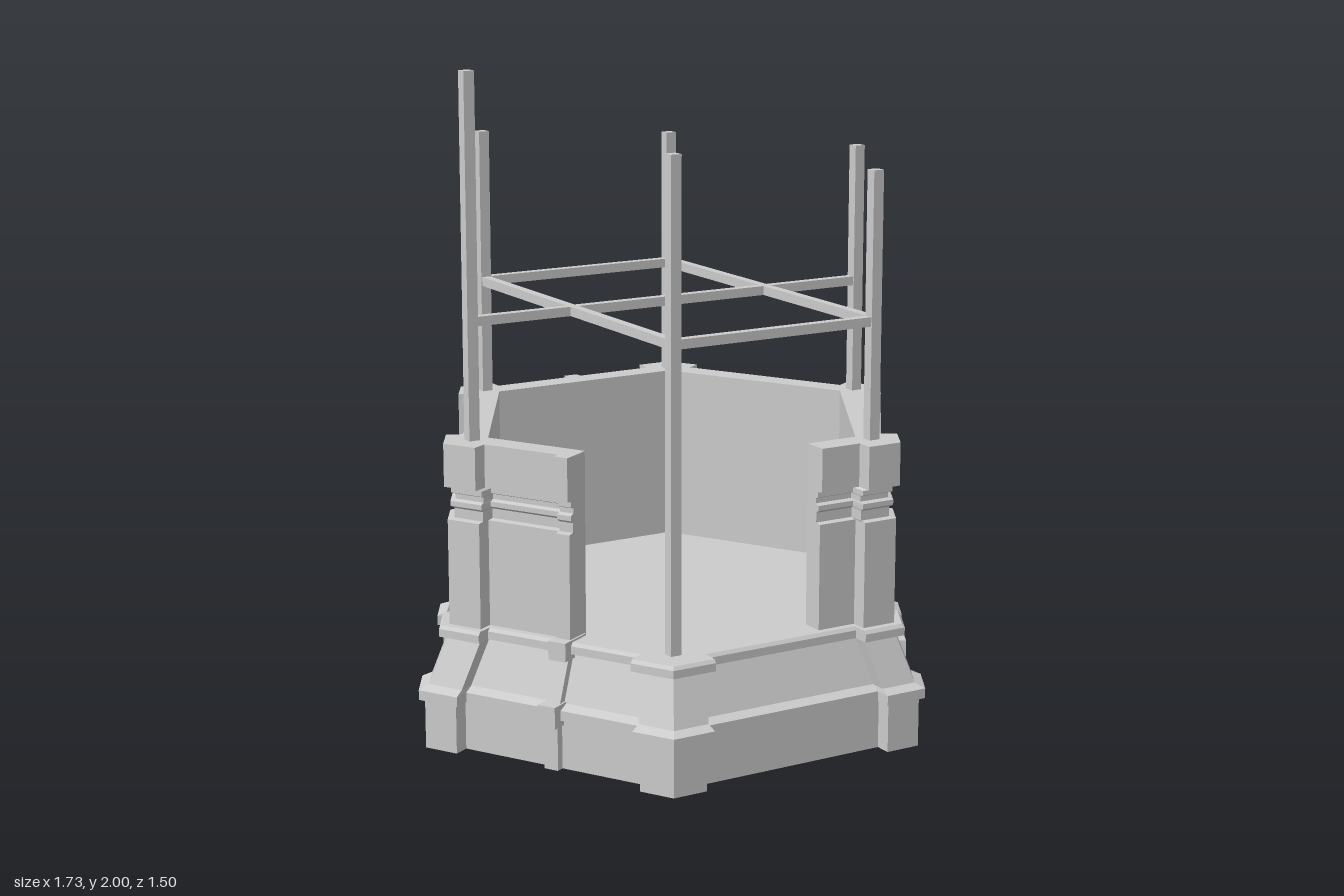
import * as THREE from 'three';

const mat = new THREE.MeshStandardMaterial({ color: 0xcccccc, flatShading: true });
const K = Math.cos(Math.PI / 6);
const INNER = 0.54;   // inner wall face, distance from the axis
const INSET = 0.05;   // wall panels sit behind the corner piers
const FLOOR = 0.37;

// Levels: [corner radius of the pier, height, pier arm length]
const baseLevels = [
  [0.845, 0, 0.11], [0.845, 0.145, 0.11], [0.865, 0.152, 0.135], [0.865, 0.182, 0.135],
  [0.83, 0.195, 0.115], [0.768, 0.33, 0.115], [0.795, 0.336, 0.14], [0.795, 0.36, 0.14],
  [0.785, FLOOR, 0.135],
];
const wallLevels = [
  [0.76, FLOOR, 0.11], [0.76, 0.69, 0.11], [0.737, 0.693, 0.1], [0.737, 0.722, 0.1],
  [0.75, 0.73, 0.108], [0.75, 0.745, 0.108], [0.733, 0.75, 0.098], [0.733, 0.765, 0.098],
  [0.747, 0.77, 0.106], [0.747, 0.785, 0.106], [0.77, 0.79, 0.11], [0.77, 0.92, 0.11],
];

// Hexagon sides, running from the front round by +x
const sides = [90, 30, -30, -90, -150, -210].map((d) => THREE.MathUtils.degToRad(d));

// Point on a side: s along it, n out from the axis, as [x, z]
function onSide(angle, s, n) {
  const c = Math.cos(angle), t = Math.sin(angle);
  return [c * n + t * s, t * n - c * s];
}

// Outline of one side at a level: pier arm, recessed panel, pier arm, corner
function sideOutline(angle, [radius, , arm], start = null, end = null) {
  const n = radius * K, half = radius / 2, s = half - arm, w = n - INSET;
  const pts = start === null ? [[-s, n], [-s, w]] : [[start, w]];
  if (end === null) pts.push([s, w], [s, n], [half, n]);
  else pts.push([end, w]);
  return pts.map(([a, b]) => onSide(angle, a, b));
}

const basePlan = (level) => sides.flatMap((a) => sideOutline(a, level));

// Wall ring broken open at the front, closed back along its inner face
function wallPlan(level) {
  const start = 0.145, end = 0.02;
  const outer = sides.flatMap((a, i) =>
    sideOutline(a, level, i === 0 ? start : null, i === 5 ? end : null));
  const inner = [onSide(sides[0], start, INNER)];
  for (let i = 0; i < 5; i++) inner.push(onSide(sides[i], INNER / K / 2, INNER));
  inner.push(onSide(sides[5], end, INNER));
  return outer.concat(inner.reverse());
}

// Joins the outlines of all levels and caps both ends
function loft(levels, plan) {
  const rings = levels.map((l) => plan(l).map(([x, z]) => [x, l[1], z]));
  const pos = [];
  const tri = (...p) => p.forEach((v) => pos.push(...v));
  for (let j = 0; j + 1 < rings.length; j++) {
    const lo = rings[j], hi = rings[j + 1];
    lo.forEach((a, i) => {
      const k = (i + 1) % lo.length;
      tri(a, lo[k], hi[k]);
      tri(a, hi[k], hi[i]);
    });
  }
  const cap = (ring, up) => {
    const flat = ring.map(([x, , z]) => new THREE.Vector2(x, -z));
    THREE.ShapeUtils.triangulateShape(flat, []).forEach(([a, b, c]) =>
      up ? tri(ring[a], ring[b], ring[c]) : tri(ring[a], ring[c], ring[b]));
  };
  cap(rings[0], false);
  cap(rings[rings.length - 1], true);
  const g = new THREE.BufferGeometry();
  g.setAttribute('position', new THREE.Float32BufferAttribute(pos, 3));
  g.computeVertexNormals();
  return g;
}

function add(parent, name, geometry) {
  const m = new THREE.Mesh(geometry, mat);
  m.name = name;
  parent.add(m);
  return m;
}

// Upright strip that follows the panel profile, width along the side
function strip(levels, out, width, grow = 0) {
  const pts = levels.map(([r, y]) => new THREE.Vector2(r * K - INSET + out, y));
  pts[0].y -= grow;
  pts[pts.length - 1].y += grow;
  const inside = 0.555;
  const shape = new THREE.Shape([
    new THREE.Vector2(inside, pts[0].y), ...pts, new THREE.Vector2(inside, pts[pts.length - 1].y),
  ]);
  return new THREE.ExtrudeGeometry(shape, { depth: width, bevelEnabled: false })
    .translate(0, 0, -width / 2);
}

export function createModel() {
  const model = new THREE.Group();
  model.name = 'unfinishedHexagonalTower';

  add(model, 'baseAndFloor', loft(baseLevels, basePlan));
  add(model, 'brokenWall', loft(wallLevels, wallPlan));

  // Ribs at the middle of every other side
  const ribLevels = baseLevels.slice(0, -1).concat(wallLevels);
  [1, 3, 5].forEach((i) => {
    const rib = new THREE.Group();
    rib.name = 'rib';
    rib.rotation.y = -sides[i];
    add(rib, 'ribStrip', strip(ribLevels, 0.025, 0.046));
    add(rib, 'lowerRibCollar', strip(baseLevels.slice(2, 4), 0.032, 0.058, 0.018));
    add(rib, 'upperRibCollar', strip(baseLevels.slice(6, 8), 0.032, 0.058, 0.016));
    model.add(rib);
  });

  // Scaffold poles: [x, z, top]
  const X = 0.338, Z = 0.585;
  [
    [-0.676, 0, 2], [-X, Z, 1.805], [X, Z, 1.715],
    [0.676, 0, 1.7], [X, -Z, 1.7], [-X, -Z, 1.745],
  ].forEach(([x, z, top]) => {
    const h = top - FLOOR + 0.01;
    add(model, 'scaffoldPole', new THREE.BoxGeometry(0.034, h, 0.034))
      .position.set(x, top - h / 2, z);
  });

  // Scaffold crossbars
  const barY = 1.273, T = 0.028;
  [[0, 0.676], [Z, X], [-Z, X]].forEach(([z, half]) =>
    add(model, 'scaffoldCrossbar', new THREE.BoxGeometry(2 * half, T, T)).position.set(0, barY, z));
  [X, -X].forEach((x) =>
    add(model, 'scaffoldSidebar', new THREE.BoxGeometry(T, T, 2 * Z)).position.set(x, barY, 0));

  return model;
}
